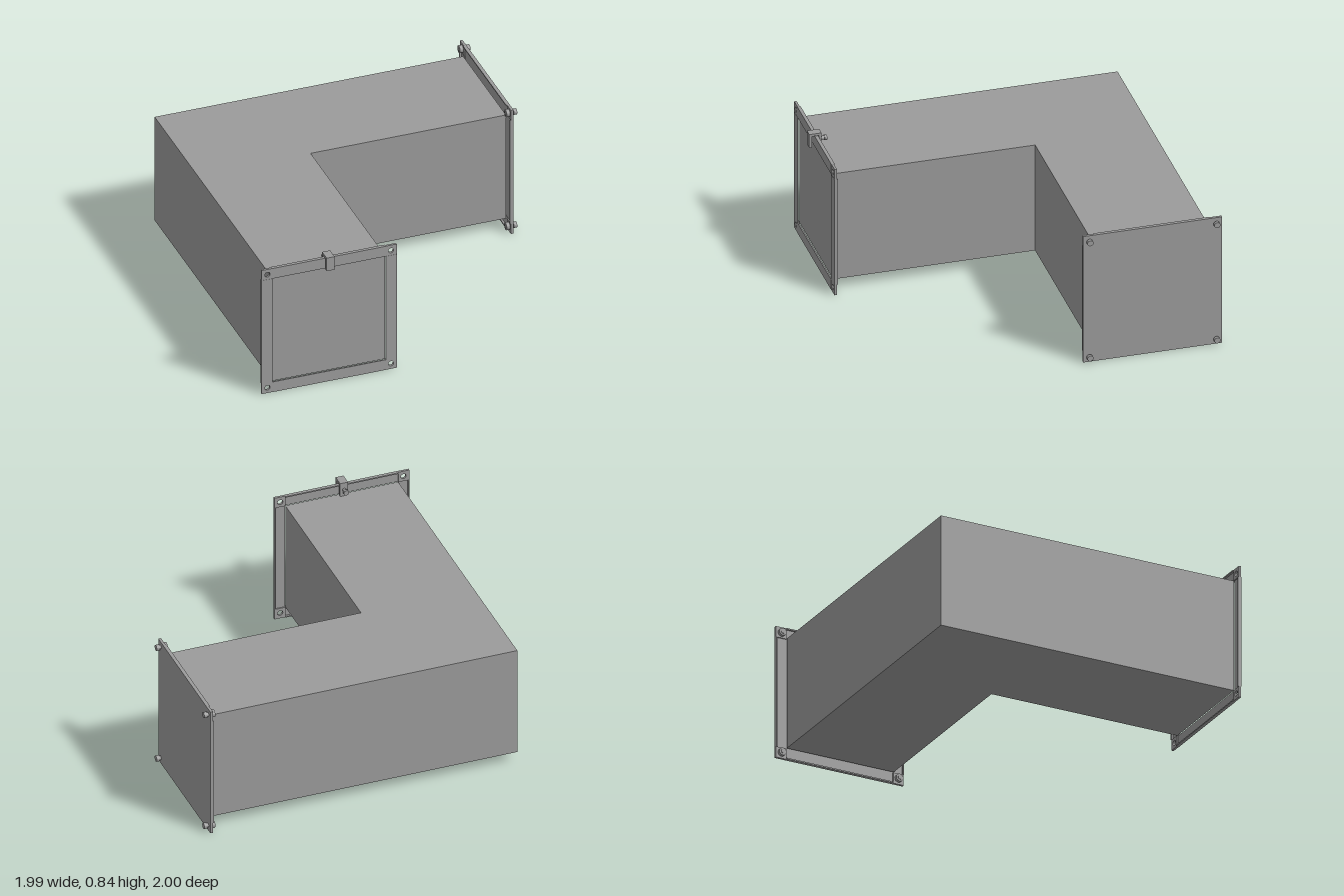
import * as THREE from 'three';

const material = new THREE.MeshStandardMaterial({ color: 0x9b9b9b, flatShading: true });
const H = 0.411;    // half width of the flange
const D = 0.344;    // half width of the duct
const HOLE = 0.376; // bolt hole distance from the axis
const MID = 0.411;  // height of the duct axis
const OFF = -0.588; // sideways position of both arms
const END = 0.945;  // where the duct meets its flanges

function add(parent, name, geometry, x = 0, y = 0, z = 0) {
  const mesh = new THREE.Mesh(geometry, material);
  mesh.name = name;
  mesh.position.set(x, y, z);
  parent.add(mesh);
}

// Box given by its lower and upper corners
function block(parent, name, a, b) {
  add(parent, name, new THREE.BoxGeometry(b[0] - a[0], b[1] - a[1], b[2] - a[2]),
    (a[0] + b[0]) / 2, (a[1] + b[1]) / 2, (a[2] + b[2]) / 2);
}

// Cylinder along z from z0 to z1
function pin(parent, name, r, x, y, z0, z1, sides = 16) {
  const g = new THREE.CylinderGeometry(r, r, z1 - z0, sides).rotateX(Math.PI / 2);
  add(parent, name, g, x, y, (z0 + z1) / 2);
}

// Corner plate with a bolt hole, for the +x +y corner
function cornerGeometry() {
  const s = new THREE.Shape();
  s.moveTo(D, D);
  s.lineTo(H, D);
  s.lineTo(H, H);
  s.lineTo(D, H);
  s.closePath();
  const hole = new THREE.Path();
  hole.absarc(HOLE, HOLE, 0.016, 0, Math.PI * 2, true);
  s.holes.push(hole);
  return new THREE.ExtrudeGeometry(s, { depth: 0.014, bevelEnabled: false, curveSegments: 12 });
}

// Flange of four folded rails and four corner plates, facing +z
function makeFlange(name) {
  const flange = new THREE.Group();
  flange.name = name;
  for (let k = 0; k < 4; k++) {
    const side = new THREE.Group();
    side.name = 'flangeSide';
    side.rotation.z = k * Math.PI / 2;
    block(side, 'rail', [-D, D, 0.012], [D, H, 0.02]);
    block(side, 'railLip', [-D, H - 0.008, 0], [D, H, 0.012]);
    add(side, 'cornerPlate', cornerGeometry(), 0, 0, 0.005);
    flange.add(side);
  }
  return flange;
}

export function createModel() {
  const model = new THREE.Group();
  model.name = 'ductElbow';

  // L-shaped duct
  const lo = OFF - D, hi = OFF + D;
  const outline = new THREE.Shape([
    [lo, lo], [END, lo], [END, hi], [hi, hi], [hi, END], [lo, END],
  ].map(([x, z]) => new THREE.Vector2(x, z)));
  const body = new THREE.ExtrudeGeometry(outline, { depth: 2 * D, bevelEnabled: false });
  body.rotateX(Math.PI / 2);
  add(model, 'duct', body, 0, MID + D, 0);

  // Front flange with its recessed end panel
  const front = makeFlange('frontFlange');
  front.position.set(OFF, MID, END);
  block(front, 'endPanel', [-D, -D, 0], [D, D, 0.008]);
  model.add(front);

  // Clamp gripping the top rail
  const clamp = new THREE.Group();
  clamp.name = 'clamp';
  clamp.position.x = -0.005;
  const w = 0.024;
  block(clamp, 'clampBridge', [-w, 0.417, -0.018], [w, 0.432, 0.055]);
  block(clamp, 'clampFrontJaw', [-w, 0.345, 0.038], [w, 0.417, 0.055]);
  block(clamp, 'clampBackJaw', [-w, 0.345, -0.018], [w, 0.417, -0.002]);
  pin(clamp, 'clampScrew', 0.011, 0, 0.386, -0.045, 0.01);
  pin(clamp, 'clampScrewHead', 0.016, 0, 0.386, -0.055, -0.04);
  front.add(clamp);

  // Side flange closed by a cover plate and bolted at the corners
  const right = makeFlange('rightFlange');
  right.position.set(END, MID, OFF);
  right.rotation.y = Math.PI / 2;
  block(right, 'coverPlate', [-H, -H, 0.014], [H, H, 0.021]);
  for (const x of [-HOLE, HOLE]) {
    for (const y of [-HOLE, HOLE]) {
      pin(right, 'nut', 0.023, x, y, -0.015, 0.006);
      pin(right, 'boltShaft', 0.012, x, y, -0.018, 0.035);
      pin(right, 'boltHead', 0.018, x, y, 0.03, 0.05);
    }
  }
  model.add(right);

  return model;
}
